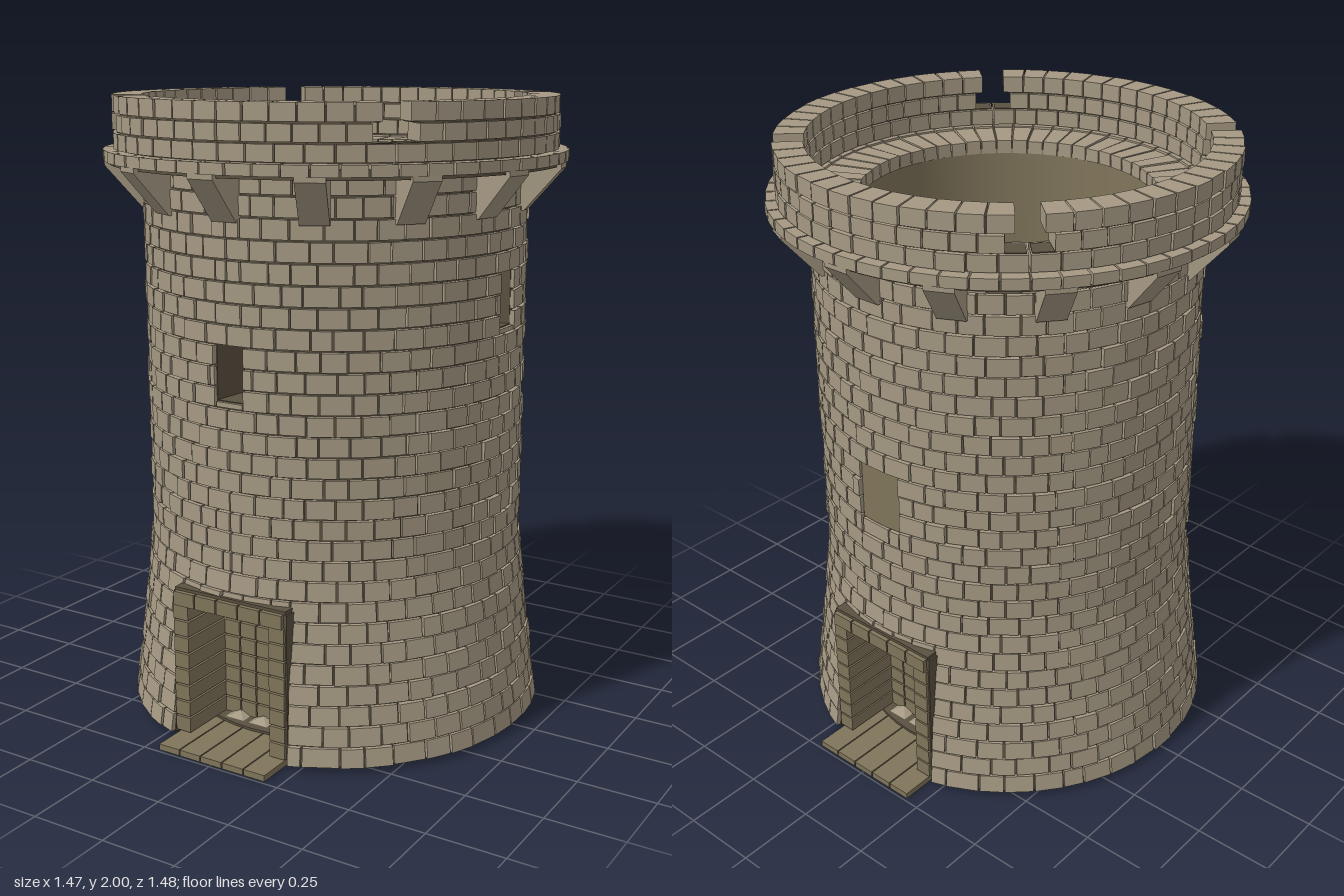
import * as THREE from 'three';
import { mergeGeometries } from 'three/addons/utils/BufferGeometryUtils.js';

const stone = new THREE.MeshStandardMaterial({ name: 'stone', color: 0xa59983 });
const mortar = new THREE.MeshStandardMaterial({ name: 'mortar', color: 0x5a5140 });
const timber = new THREE.MeshStandardMaterial({ name: 'timber', color: 0x80755b, side: THREE.DoubleSide });

let seed = 7;
const rand = () => (seed = (seed * 16807) % 2147483647) / 2147483647;
const lerp = THREE.MathUtils.lerp;
const TAU = Math.PI * 2;

// Outer wall radius: straight shaft with a flared base
const wallR = y => 0.614 + 0.074 * Math.pow(Math.max(0, 1 - y / 0.62), 1.15);

// Box bent into a ring segment; the outer radius may differ at bottom and top
function wedge(a0, a1, y0, y1, rIn, rBottom, rTop = rBottom, segments = 1) {
  const g = new THREE.BoxGeometry(1, 1, 1, segments, 1, 1);
  const p = g.attributes.position;
  for (let i = 0; i < p.count; i++) {
    const v = p.getY(i) + 0.5;
    const a = lerp(a0, a1, p.getX(i) + 0.5);
    const r = lerp(rIn, lerp(rBottom, rTop, v), p.getZ(i) + 0.5);
    p.setXYZ(i, Math.sin(a) * r, lerp(y0, y1, v), Math.cos(a) * r);
  }
  g.computeVertexNormals();
  return g;
}

function block(w, h, d, x, y, z) {
  return new THREE.BoxGeometry(w, h, d).translate(x, y, z);
}

function addMesh(group, name, geometries, material) {
  const mesh = new THREE.Mesh(mergeGeometries(geometries), material);
  mesh.name = name;
  group.add(mesh);
  return mesh;
}

// Row of bricks over one arc, with a mortar core set back behind the faces
function layArc(bricks, core, o) {
  const { a0, a1, y0, y1, rIn, rBottom, rTop, step, shift = 0, gap = 0.006, inset = 0.014 } = o;
  const cuts = [a0];
  for (let k = Math.ceil(a0 / step); (k + shift) * step < a1 - step * 0.3; k++) {
    const a = (k + shift + (rand() - 0.5) * 0.3) * step;
    if (a > a0 + step * 0.3) cuts.push(a);
  }
  cuts.push(a1);
  const ga = gap / rBottom;
  for (let i = 0; i + 1 < cuts.length; i++) {
    const out = (rand() - 0.5) * 0.008;
    bricks.push(wedge(cuts[i] + ga / 2, cuts[i + 1] - ga / 2, y0 + gap / 2, y1 - gap / 2,
      rBottom - 0.07, rBottom + out, rTop + out));
  }
  core.push(wedge(a0, a1, y0, y1, rIn, rBottom - inset, rTop - inset, Math.max(1, Math.ceil((a1 - a0) * 8))));
}

export function createModel() {
  const tower = new THREE.Group();
  tower.name = 'stoneTower';

  // Openings: two doorways and three windows
  const openings = [
    { a: 0, half: 0.323, y0: 0, y1: 0.5 },
    { a: Math.PI, half: 0.323, y0: 0, y1: 0.5 },
    { a: 0, half: 0.081, y0: 1.12, y1: 1.29 },
    { a: Math.PI / 2, half: 0.081, y0: 1.31, y1: 1.48 },
    { a: Math.PI, half: 0.13, y0: 0.9, y1: 1.1 }
  ];

  // Main wall, course by course, cut around the openings
  const bricks = [], core = [];
  const courses = 28, base = 0.015, top = 1.8, h = (top - base) / courses;
  for (let c = 0; c < courses; c++) {
    const y0 = base + c * h, y1 = y0 + h;
    const lay = (a0, a1, b0, b1) => layArc(bricks, core, {
      a0, a1, y0: b0, y1: b1, rIn: b1 < 0.5 ? 0.51 : 0.465,
      rBottom: wallR(b0), rTop: wallR(b1), step: TAU / 46, shift: (c % 2) * 0.5
    });
    const cut = openings.filter(o => o.y0 < y1 - 0.004 && o.y1 > y0 + 0.004).sort((p, q) => p.a - q.a);
    if (!cut.length) lay(0, TAU, y0, y1);
    cut.forEach((o, i) => {
      const next = cut[i + 1] || { a: cut[0].a + TAU, half: cut[0].half };
      lay(o.a + o.half, next.a - next.half, y0, y1);
      if (o.y0 > y0 + 0.01) lay(o.a - o.half, o.a + o.half, y0, o.y0);
      if (o.y1 < y1 - 0.01) lay(o.a - o.half, o.a + o.half, o.y1, y1);
    });
  }
  addMesh(tower, 'wallBricks', bricks, stone);
  addMesh(tower, 'wallMortar', core, mortar);

  // Inner lining, closing the back of the window recesses
  addMesh(tower, 'innerLining', [
    new THREE.CylinderGeometry(0.462, 0.462, 1.26, 64, 1, true).translate(0, 1.17, 0)
  ], timber);
  addMesh(tower, 'backShutter', [wedge(Math.PI - 0.13, Math.PI + 0.13, 0.9, 1.1, 0.595, 0.604, 0.604, 3)], timber);

  // Upper floor with a few loose stones on it
  addMesh(tower, 'upperFloor', [new THREE.CircleGeometry(0.463, 64).rotateX(-Math.PI / 2).translate(0, 0.58, 0)], timber);
  const loose = [];
  for (const s of [-1, 1]) for (let i = 0; i < 3; i++) {
    loose.push(block(0.083, 0.02, 0.05, s * (0.2 + i * 0.088), 0.585, s * 0.15));
  }
  addMesh(tower, 'floorStones', loose, timber);
  const capStone = new THREE.ConeGeometry(0.072, 0.05, 4, 1).toNonIndexed();
  capStone.computeVertexNormals();
  addMesh(tower, 'capStone', [capStone.rotateY(Math.PI / 4).translate(0.355, 0.605, 0.06)], stone);

  // Ground floor: dark bed with pointed paving stones
  addMesh(tower, 'floorBed', [new THREE.CylinderGeometry(0.515, 0.515, 0.008, 48).translate(0, 0.024, 0)], mortar);
  const paving = [];
  for (let i = -5; i <= 5; i++) for (let j = -5; j <= 5; j++) {
    const x = i * 0.09, z = j * 0.09;
    if (Math.hypot(x, z) > 0.46) continue;
    const g = new THREE.OctahedronGeometry(0.066).rotateY(Math.PI / 4);
    g.scale(0.93, 0.3, 0.93);
    g.computeVertexNormals();
    paving.push(g.translate(x, 0.024, z));
  }
  addMesh(tower, 'paving', paving, stone);

  // Doorways front and back
  for (const side of [1, -1]) {
    const door = new THREE.Group();
    door.name = side > 0 ? 'frontDoorway' : 'backDoorway';
    const jambs = [], lintel = [], sill = [], panels = [];
    for (let i = 0; i < 8; i++) {
      const y = 0.052 + i * 0.054;
      for (const s of [-1, 1]) jambs.push(block(0.055, 0.048, 0.22, s * 0.178, y, 0.53));
      for (let k = -2; k <= 2; k++) panels.push(block(0.056, 0.048, 0.02, k * 0.061, y, 0.435));
    }
    for (let k = -2; k <= 2; k++) {
      lintel.push(block(0.076, 0.045, 0.22, k * 0.081, 0.475, 0.535));
      sill.push(block(0.076, 0.02, 0.32, k * 0.08, 0.01, 0.58));
    }
    addMesh(door, 'jambs', jambs, timber);
    addMesh(door, 'lintel', lintel, timber);
    addMesh(door, 'threshold', sill, timber);
    addMesh(door, 'doorPanels', panels, timber);
    addMesh(door, 'doorBacking', [
      block(0.4, 0.48, 0.01, 0, 0.26, 0.424),
      block(0.41, 0.012, 0.2, 0, 0.501, 0.53),
      block(0.01, 0.47, 0.2, 0.205, 0.26, 0.53),
      block(0.01, 0.47, 0.2, -0.205, 0.26, 0.53)
    ], mortar);
    door.rotation.y = side > 0 ? 0 : Math.PI;
    tower.add(door);
  }

  // Sloping corbels carrying the parapet
  const profile = new THREE.Shape([[0.58, 1.8], [0.58, 1.655], [0.62, 1.655], [0.732, 1.785], [0.732, 1.8]]
    .map(([x, y]) => new THREE.Vector2(x, y)));
  const corbels = [];
  for (let i = 0; i < 14; i++) {
    const g = new THREE.ExtrudeGeometry(profile, { depth: 0.088, bevelEnabled: false });
    corbels.push(g.translate(0, 0, -0.044).rotateY(-Math.PI / 2 + i * TAU / 14));
  }
  addMesh(tower, 'corbels', corbels, stone);

  // Ledge under the parapet and the walkway inside it
  const ledge = [], walk = [];
  for (let i = 0; i < 56; i++) {
    const a = i * TAU / 56, b = a + TAU / 56, j = rand() * 0.004;
    ledge.push(wedge(a + 0.004, b - 0.004, 1.8, 1.834, 0.6, 0.738 - j));
    walk.push(wedge(a + 0.005, b - 0.005, 1.785, 1.826 + j, 0.458, 0.62));
  }
  addMesh(tower, 'ledge', ledge, stone);
  addMesh(tower, 'walkway', walk, stone);
  addMesh(tower, 'walkwayBed', [wedge(0, TAU, 1.79, 1.82, 0.468, 0.72, 0.72, 56)], mortar);

  // Parapet: one full course, then two courses split by four notches
  const parapet = [], parapetCore = [];
  [0, 0.12, 0.07].forEach((notch, c) => {
    for (let q = 0; q < 4; q++) {
      const mid = q * Math.PI / 2, half = Math.PI / 4 - notch / 2 / 0.66;
      const y0 = 1.834 + c * 0.0553;
      const n = 13, step = 2 * half / n;
      for (let i = 0; i < n; i++) {
        const a = mid - half + i * step, out = (rand() - 0.5) * 0.006;
        parapet.push(wedge(a + 0.004, a + step - 0.004, y0 + 0.003, y0 + 0.0553 - (c < 2 ? 0.003 : 0),
          0.612, 0.705 + out));
      }
      parapetCore.push(wedge(mid - half + 0.01, mid + half - 0.01, y0, y0 + (c < 2 ? 0.0553 : 0.045), 0.625, 0.692, 0.692, 13));
    }
  });
  addMesh(tower, 'parapetBricks', parapet, stone);
  addMesh(tower, 'parapetMortar', parapetCore, mortar);

  return tower;
}
